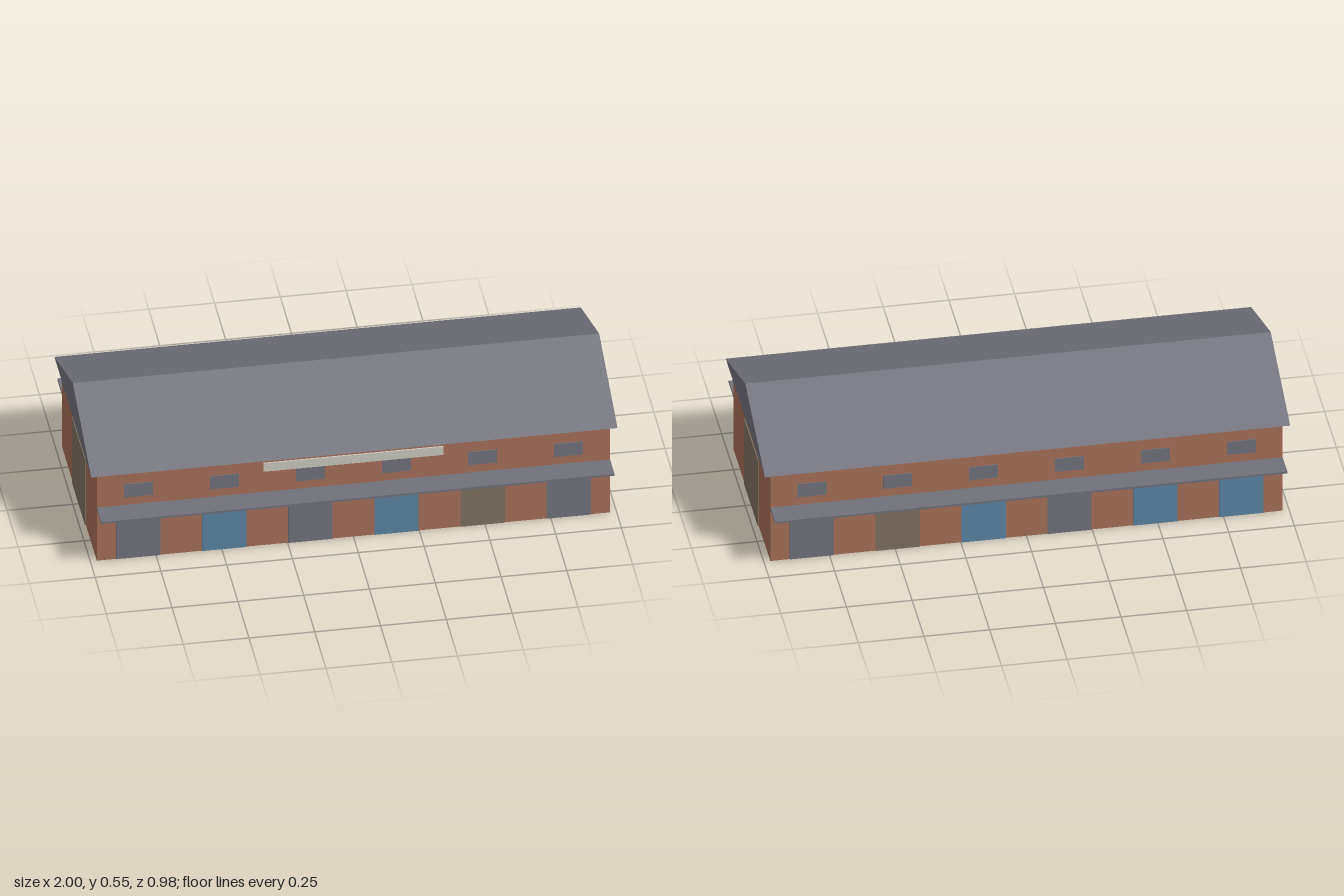
import * as THREE from 'three';

const material = (name, color) => Object.assign(new THREE.MeshStandardMaterial({ color }), { name });

export function createModel() {
  const brick = material('brick', 0xa56e59);
  const slate = material('slate grey', 0x70717a);
  const blue = material('blue shutter', 0x5982a0);
  const taupe = material('taupe shutter', 0x7d6f60);
  const cream = material('pale sign', 0xc9c8be);

  const model = new THREE.Group();
  model.name = 'warehouse';

  const addBox = (name, mat, size, pos, parent = model) => {
    const mesh = new THREE.Mesh(new THREE.BoxGeometry(...size), mat);
    mesh.name = name;
    mesh.position.set(...pos);
    parent.add(mesh);
    return mesh;
  };

  // Main brick hall
  addBox('walls', brick, [1.95, 0.392, 0.78], [0, 0.196, 0]);

  // Closed gable roof with overhanging eaves
  const gable = new THREE.Shape();
  gable.moveTo(-0.413, 0.392);
  gable.lineTo(0.413, 0.392);
  gable.lineTo(0, 0.546);
  gable.closePath();
  const roofGeometry = new THREE.ExtrudeGeometry(gable, { depth: 2, bevelEnabled: false });
  roofGeometry.translate(0, 0, -1).rotateY(Math.PI / 2);
  const roof = new THREE.Mesh(roofGeometry, slate);
  roof.name = 'roof';
  model.add(roof);

  // Long sides: six bays, each with a shutter and a high window, under one canopy
  const sides = [
    { name: 'front', z: 1, shutters: [slate, blue, slate, blue, taupe, slate] },
    { name: 'back', z: -1, shutters: [blue, blue, slate, blue, taupe, slate] },
  ];
  for (const { name, z, shutters } of sides) {
    const side = new THREE.Group();
    side.name = name + 'Side';
    model.add(side);
    shutters.forEach((mat, i) => {
      const x = (i - 2.5) * 0.327;
      addBox('shutter', mat, [0.168, 0.215, 0.008], [x, 0.1085, z * 0.39], side);
      addBox('window', slate, [0.11, 0.058, 0.008], [x, 0.304, z * 0.39], side);
    });
    addBox('canopy', slate, [1.95, 0.009, 0.1], [0, 0.236, z * 0.442], side);
  }

  // Blank sign board over the front canopy
  addBox('signBoard', cream, [0.684, 0.037, 0.009], [0, 0.352, 0.3915]);

  // Large door at each end
  for (const x of [-1, 1]) {
    addBox('endDoor', taupe, [0.008, 0.294, 0.294], [x * 0.975, 0.148, 0]);
  }

  return model;
}
